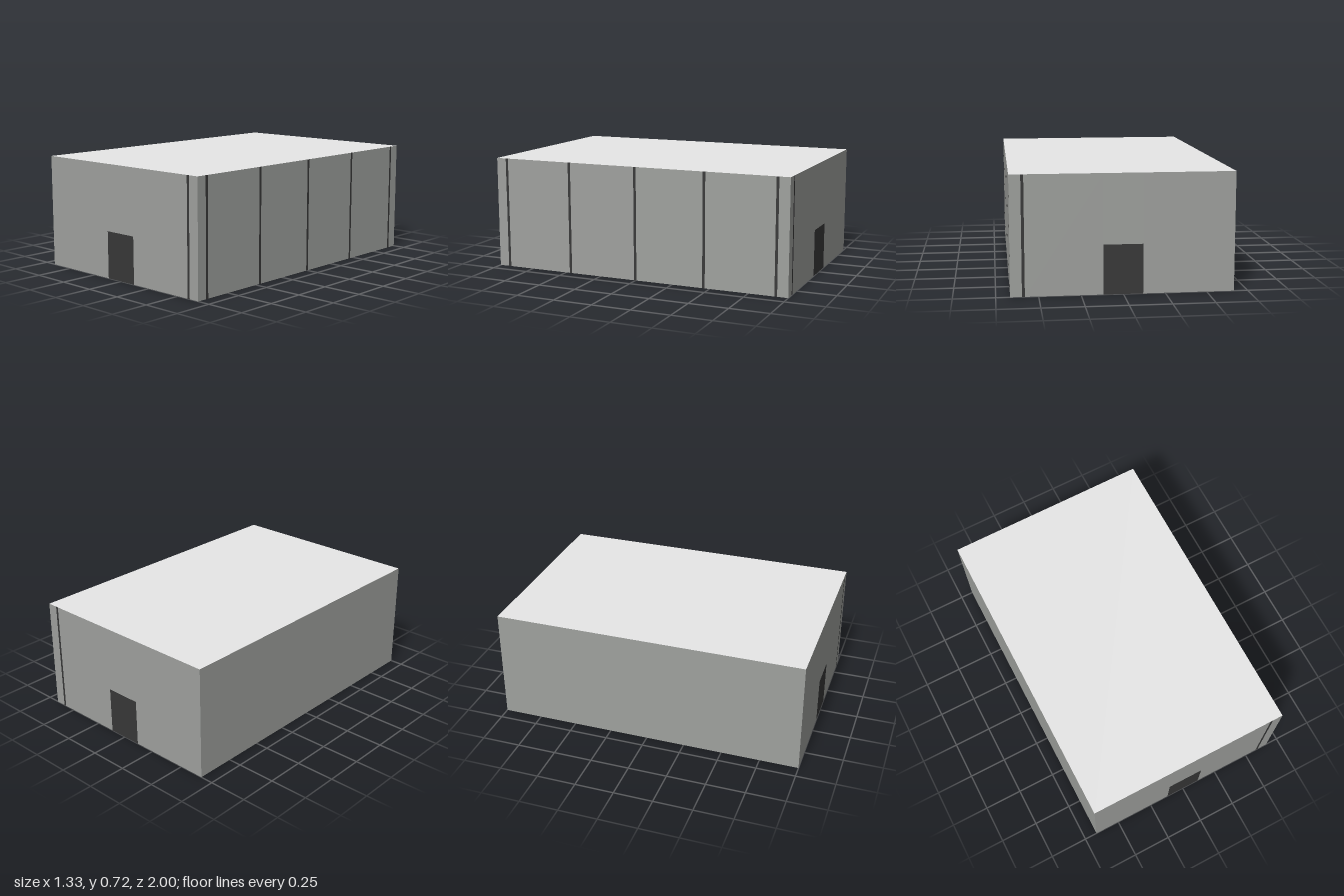
import * as THREE from 'three';

const W = 1.332, H = 0.722, L = 2;           // hall width, height, length
const GATE_W = 0.236, GATE_H = 0.3;          // end gates
const COLUMN_X = 0.589, COLUMN_W = 0.017;    // columns
const SIDE_START = 0.926, SIDE_STEP = 0.4622; // side column spacing

function material(name, color) {
  const m = new THREE.MeshStandardMaterial({ color });
  m.name = name;
  return m;
}

export function createModel() {
  const wallGrey = material('wall grey', 0x9fa19e);
  const roofGrey = material('roof light grey', 0xe7e7e7);
  const darkGrey = material('dark grey', 0x383838);
  const floorBlue = material('floor blue', 0x333ae6);

  const model = new THREE.Group();
  model.name = 'hall';

  // Flat rectangle between two corners of a wall's own plane
  const panel = (parent, name, mat, x0, x1, y0 = 0, y1 = H) => {
    const mesh = new THREE.Mesh(new THREE.PlaneGeometry(x1 - x0, y1 - y0), mat);
    mesh.name = name;
    mesh.position.set((x0 + x1) / 2, (y0 + y1) / 2, 0);
    parent.add(mesh);
  };

  // Wall of the given length, split into panels by flush columns;
  // a gate may sit in the middle
  const wall = (name, length, angle, distance, columns, hasGate) => {
    const group = new THREE.Group();
    group.name = name;
    group.rotation.y = angle;
    group.position.set(Math.sin(angle) * distance, 0, Math.cos(angle) * distance);
    const g = GATE_W / 2;
    const cuts = columns.map((c) => ['column', c - COLUMN_W / 2, c + COLUMN_W / 2]);
    if (hasGate) cuts.push(['gate', -g, g]);
    cuts.sort((a, b) => a[1] - b[1]);

    let start = -length / 2;
    for (const [part, x0, x1] of cuts) {
      panel(group, 'wallPanel', wallGrey, start, x0);
      panel(group, part, darkGrey, x0, x1, 0, part === 'gate' ? GATE_H : H);
      if (part === 'gate') panel(group, 'panelAboveGate', wallGrey, x0, x1, GATE_H, H);
      start = x1;
    }
    panel(group, 'wallPanel', wallGrey, start, length / 2);
    model.add(group);
  };

  const sideColumns = Array.from({ length: 5 }, (_, i) => i * SIDE_STEP - SIDE_START);
  wall('frontWall', W, 0, L / 2, [COLUMN_X], true);
  wall('backWall', W, Math.PI, L / 2, [-COLUMN_X], true);
  wall('leftWall', L, Math.PI / 2, W / 2, sideColumns, false);
  wall('rightWall', L, -Math.PI / 2, W / 2, [], false);

  // Roof and floor
  for (const [name, mat, y, tilt] of [['roof', roofGrey, H, -1], ['floor', floorBlue, 0, 1]]) {
    const slab = new THREE.Mesh(new THREE.PlaneGeometry(W, L), mat);
    slab.name = name;
    slab.position.y = y;
    slab.rotation.x = tilt * Math.PI / 2;
    model.add(slab);
  }

  return model;
}
